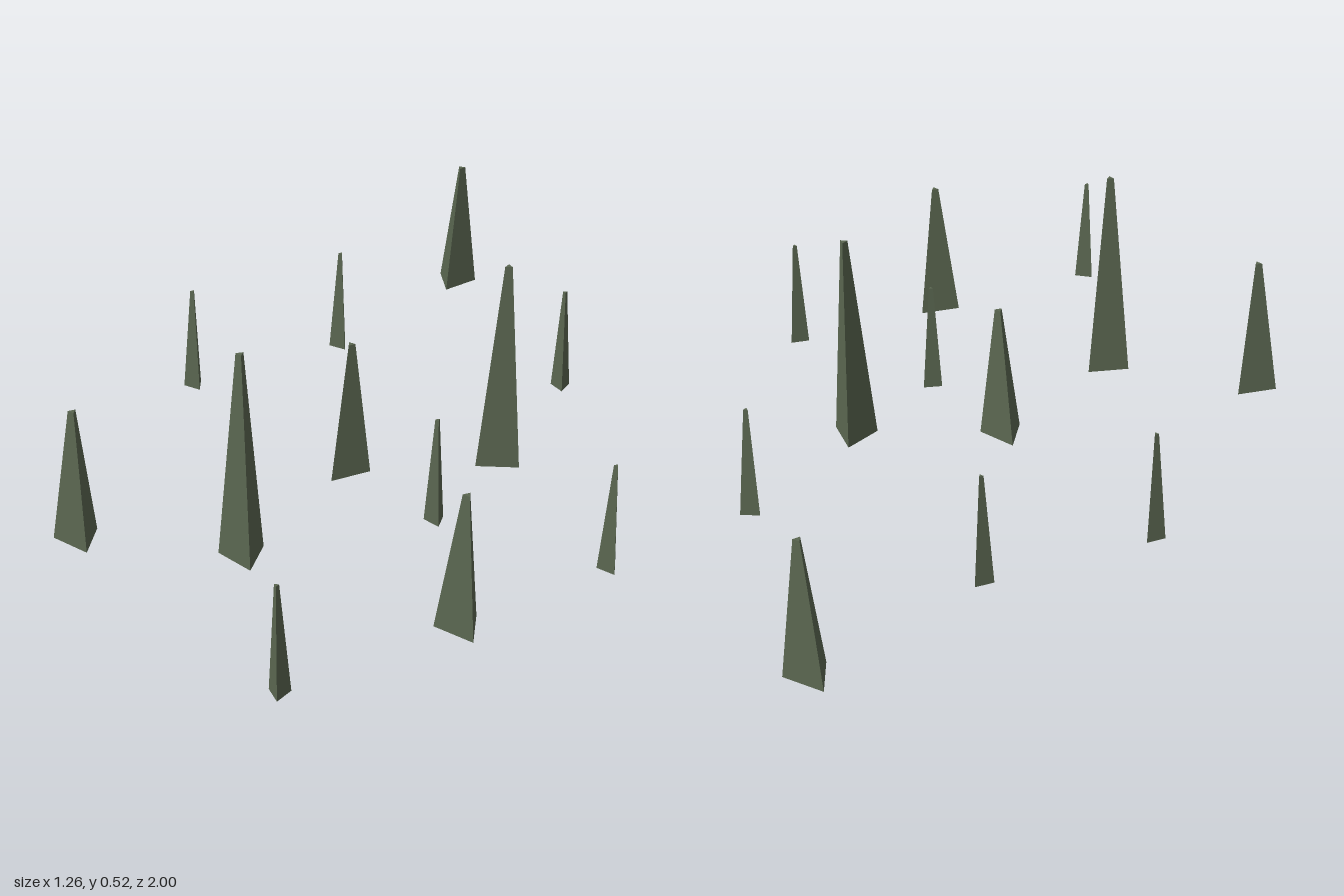
import * as THREE from 'three';

// Three-sided spike sizes: height, base radius, tip radius, lean of the tip toward one corner
const SIZES = {
  tall: { height: 0.52, base: 0.06, tip: 0.01, lean: 0.014 },
  medium: { height: 0.34, base: 0.059, tip: 0.01, lean: 0.014 },
  small: { height: 0.27, base: 0.027, tip: 0.006, lean: 0.007 },
};

// Size, x, z, and direction of the leaning corner (radians from +x toward +z)
const SPIKES = [
  ['tall', 0.335, -0.008, 0.46],
  ['tall', -0.194, 0.481, 1.17],
  ['medium', 0.145, -0.959, -0.25],
  ['medium', -0.019, 0.084, -0.06],
  ['medium', -0.575, 0.46, 1.05],
  ['medium', 0.31, 0.695, 1.03],
  ['small', -0.452, -0.281, 0.93],
  ['small', -0.117, -0.542, 0.93],
  ['small', 0.467, -0.394, 1.41],
  ['small', 0.214, 0.279, 1.18],
  ['small', 0.614, 0.427, 1.05],
  ['small', -0.037, 0.973, Math.PI / 2],
];

// Tapered triangular prism standing on y = 0, its tip slid toward the +z corner
function spikeGeometry({ height, base, tip, lean }) {
  const geometry = new THREE.CylinderGeometry(tip, base, height, 3);
  geometry.translate(0, height / 2, 0);
  const p = geometry.attributes.position;
  for (let i = 0; i < p.count; i++) {
    p.setZ(i, p.getZ(i) + lean * p.getY(i) / height);
  }
  geometry.computeVertexNormals();
  return geometry;
}

export function createModel() {
  const group = new THREE.Group();
  group.name = 'spikeField';
  const material = new THREE.MeshStandardMaterial({ color: 0x5a6650, flatShading: true });

  const geometries = {};
  for (const size in SIZES) geometries[size] = spikeGeometry(SIZES[size]);

  SPIKES.forEach(([size, x, z, direction], i) => {
    const spike = new THREE.Mesh(geometries[size], material);
    spike.name = `${size}Spike${i + 1}`;
    spike.position.set(x, 0, z);
    spike.rotation.y = Math.PI / 2 - direction;
    group.add(spike);
  });
  return group;
}
